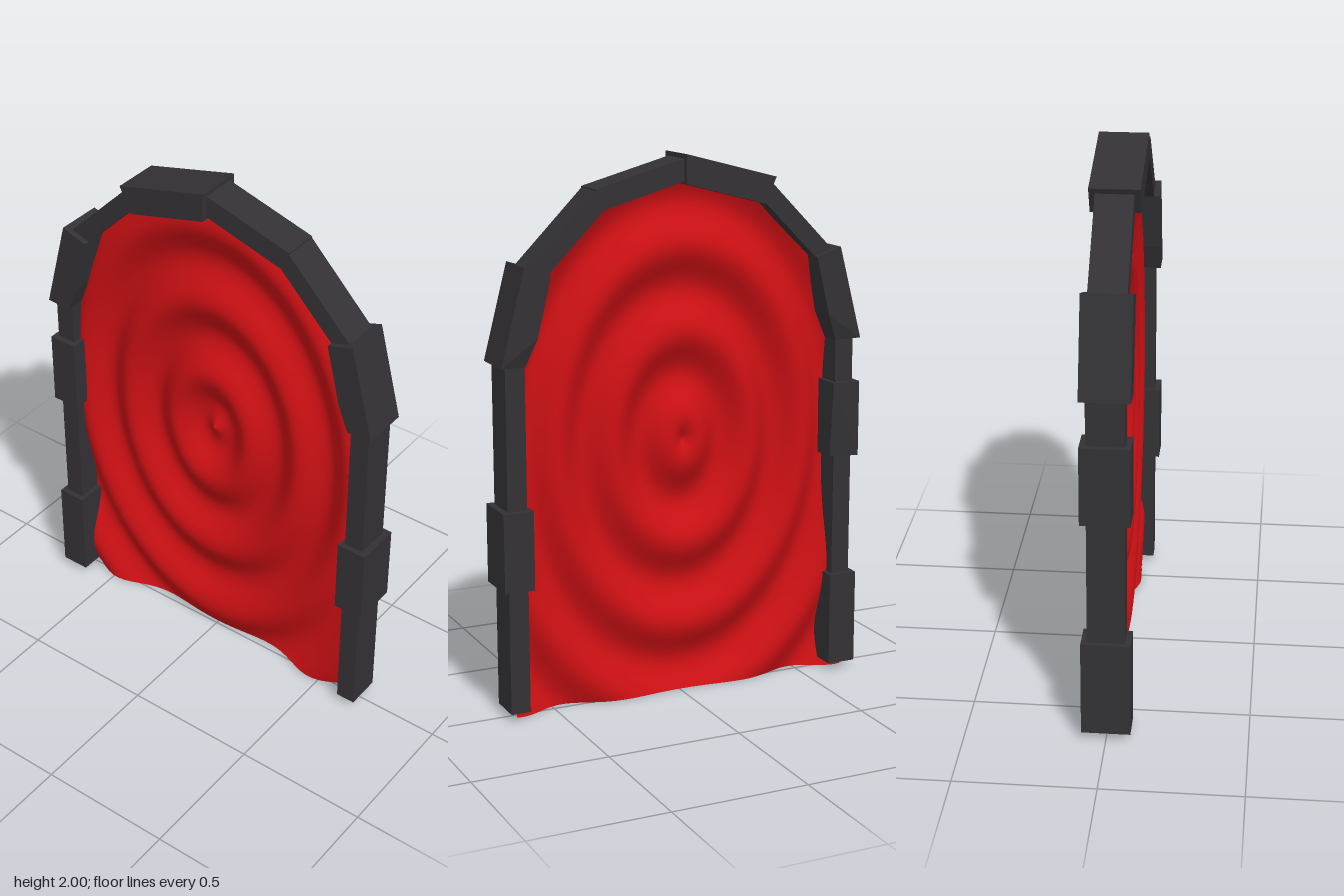
import * as THREE from 'three';
import { ConvexGeometry } from 'three/addons/geometries/ConvexGeometry.js';

const THIN = 0.066, THICK = 0.087;

const stone = new THREE.MeshStandardMaterial({ color: 0x333135, flatShading: true });
const red = new THREE.MeshStandardMaterial({ color: 0xcc1014, side: THREE.DoubleSide });

// Convex stone with a [z, y] outline, spanning x = -half..half.
// The corner numbered "chip" is knocked inward on the +x face.
function block(name, half, outline, chip = -1) {
  const points = [];
  outline.forEach(([z, y], i) => {
    points.push(new THREE.Vector3(-half, y, z));
    points.push(new THREE.Vector3(i === chip ? 0.067 : half, y, z));
  });
  const mesh = new THREE.Mesh(new ConvexGeometry(points), stone);
  mesh.name = name;
  return mesh;
}

const rect = (z0, z1, y0, y1) => [[z0, y0], [z1, y0], [z1, y1], [z0, y1]];

// Sheet with oval ripples: rings stretched from the centre out to the arch outline
function rippledSheet() {
  const outline = [
    [-0.685, 0], [-0.685, 1.29], [-0.56, 1.63], [-0.345, 1.895], [0, 1.945],
    [0.335, 1.845], [0.56, 1.63], [0.655, 1.3], [0.655, 0],
  ];
  const rim = [];
  outline.forEach(([z, y], i) => {
    const [z2, y2] = outline[(i + 1) % outline.length];
    const steps = Math.max(1, Math.round(Math.hypot(z2 - z, y2 - y) / 0.03));
    for (let s = 0; s < steps; s++) {
      rim.push([z + (z2 - z) * s / steps, y + (y2 - y) * s / steps]);
    }
  });

  const cz = -0.013, cy = 0.965, rings = 64, n = rim.length;
  const ripple = (dz, dy) => 0.029 * Math.sin(20 * Math.hypot(dz / 0.7, dy));
  const positions = [], index = [];
  for (let r = 0; r <= rings; r++) {
    const t = Math.max(r / rings, 0.0005);
    for (const [rz, ry] of rim) {
      const dz = (rz - cz) * t, dy = (ry - cy) * t;
      positions.push(ripple(dz, dy), cy + dy, cz + dz);
    }
  }
  for (let r = 0; r < rings; r++) {
    for (let i = 0; i < n; i++) {
      const j = (i + 1) % n;
      const a = r * n + i, b = r * n + j, c = a + n, d = b + n;
      index.push(a, c, b, b, c, d);
    }
  }
  const geometry = new THREE.BufferGeometry();
  geometry.setAttribute('position', new THREE.Float32BufferAttribute(positions, 3));
  geometry.setIndex(index);
  geometry.computeVertexNormals();
  const mesh = new THREE.Mesh(geometry, red);
  mesh.name = 'rippledSheet';
  return mesh;
}

export function createModel() {
  const model = new THREE.Group();
  model.name = 'archedGateway';
  const frame = new THREE.Group();
  frame.name = 'stoneFrame';

  // Posts, the chipped stones where the arch springs, and the slim stones above
  for (const s of [1, -1]) {
    const side = s > 0 ? 'front' : 'rear';
    const mirrored = (outline) => outline.map(([z, y]) => [z * s, y]);
    frame.add(
      block(side + 'Post', THIN, mirrored(rect(0.617, 0.69, 0.03, 1.32))),
      block(side + 'Springer', THICK,
        mirrored([[0.71, 1.295], [0.62, 1.64], [0.522, 1.608], [0.575, 1.39], [0.615, 1.29]]), 4),
      block(side + 'Haunch', THIN,
        mirrored([[0.605, 1.62], [0.34, 1.888], [0.305, 1.825], [0.53, 1.6]])),
    );
  }

  // Wide stones wrapped around the posts
  frame.add(
    block('frontPostStone', THICK, rect(0.6, 0.713, 0.49, 0.78)),
    block('rearPostLowerStone', THICK, rect(-0.6, -0.71, 0.03, 0.385)),
    block('rearPostUpperStone', THICK, rect(-0.6, -0.71, 0.845, 1.13), 0),
  );

  // Crown of the arch
  frame.add(
    block('frontCrown', THIN, [[0, 1.985], [0.345, 1.89], [0.32, 1.815], [0, 1.905]]),
    block('rearCrown', THICK, [[0.007, 2], [-0.35, 1.907], [-0.305, 1.812], [0.007, 1.895]]),
  );

  model.add(frame, rippledSheet());
  return model;
}
